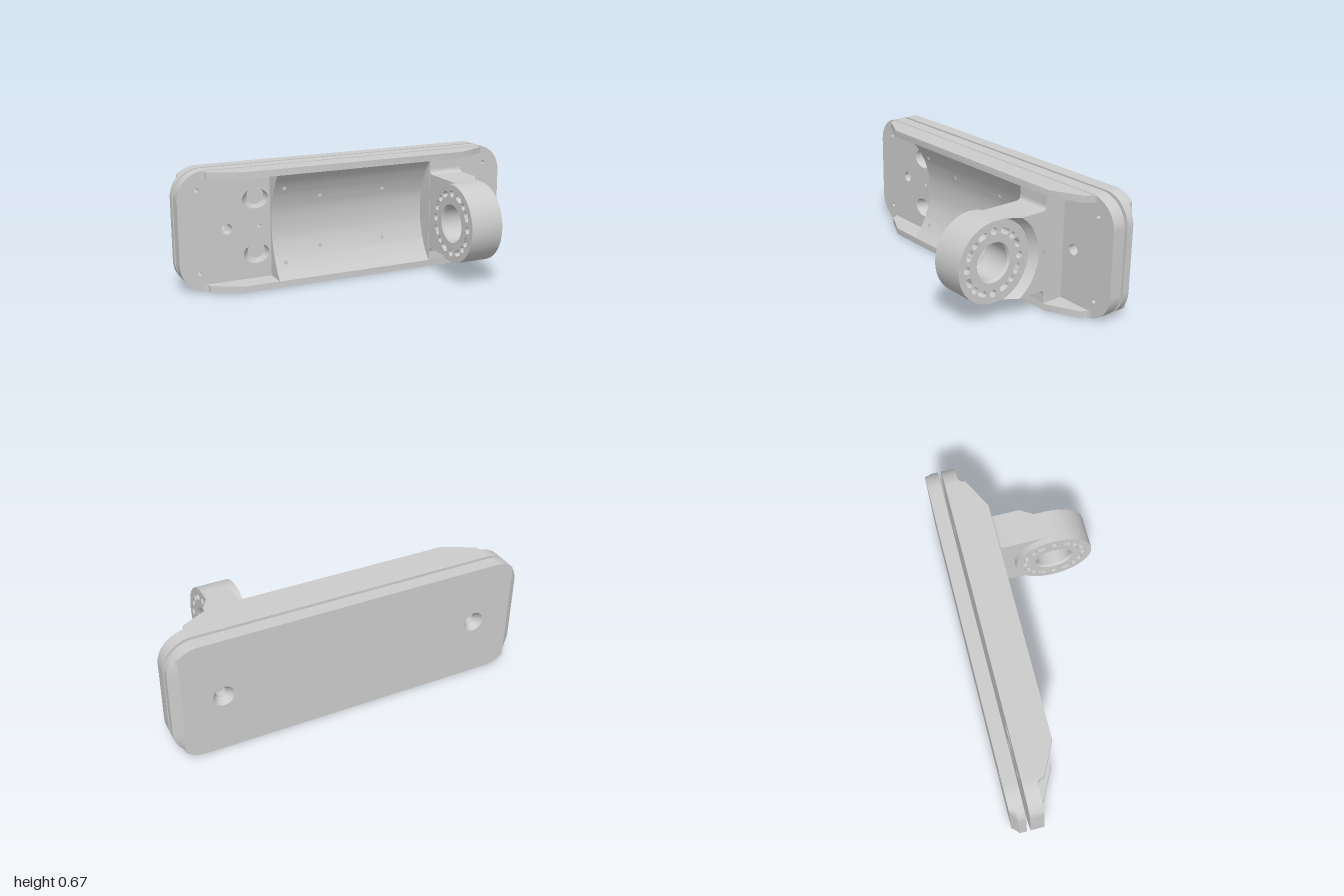
import * as THREE from 'three';
import { mergeGeometries, toCreasedNormals } from 'three/addons/utils/BufferGeometryUtils.js';

const MID = 0.335;      // middle height
const RING_Z = 0.19;    // ring axis
const mat = new THREE.MeshStandardMaterial({ color: 0xcccccc });
const matDouble = new THREE.MeshStandardMaterial({ color: 0xcccccc, side: THREE.DoubleSide });

const circle = (x, y, r) => new THREE.Path().absarc(x, y, r, 0, Math.PI * 2, true);
const ellipse = (x, y, rx, ry) => new THREE.Path().absellipse(x, y, rx, ry, 0, Math.PI * 2, true);

function extrude(shape, depth, curveSegments = 14) {
  return new THREE.ExtrudeGeometry(shape, { depth, bevelEnabled: false, curveSegments });
}

// Moves every vertex by a rule
function reshape(geo, rule) {
  const p = geo.attributes.position, v = new THREE.Vector3();
  for (let i = 0; i < p.count; i++) {
    rule(v.fromBufferAttribute(p, i));
    p.setXYZ(i, v.x, v.y, v.z);
  }
  return geo;
}

function plateShape() {
  const r = 0.16, top = 2 * MID, s = new THREE.Shape();
  s.absarc(1 - r, r, r, -Math.PI / 2, 0);
  s.absarc(1 - r, top - r, r, 0, Math.PI / 2);
  s.absarc(r - 1, top - r, r, Math.PI / 2, Math.PI);
  s.absarc(r - 1, r, r, Math.PI, Math.PI * 1.5);
  s.closePath();
  for (const x of [-0.73, 0.73]) s.holes.push(circle(x, MID, 0.03));
  return s;
}

// Arm outline (u = -z), ending in a concave arc of radius r around the ring axis
function armShape(r) {
  const a = Math.asin(0.22 / r), du = Math.sqrt(Math.max(0, r * r - 0.22 * 0.22));
  const s = new THREE.Shape();
  s.moveTo(0.14, 0.085);
  s.lineTo(0.115, 0.085);
  s.quadraticCurveTo(0.115, 0.115, 0.085, 0.115);
  s.lineTo(-RING_Z + du, 0.115);
  s.absarc(-RING_Z, MID, r, -a, a);
  s.lineTo(0.085, 0.555);
  s.quadraticCurveTo(0.115, 0.555, 0.115, 0.585);
  s.lineTo(0.14, 0.585);
  s.closePath();
  return s;
}

// Pinched slot lying along the ring's bolt circle
function pinchedSlot(angle) {
  const pts = [], cx = -RING_Z + 0.168 * Math.cos(angle), cy = MID + 0.168 * Math.sin(angle);
  for (let i = 0; i < 24; i++) {
    const t = -i / 24 * Math.PI * 2;
    const along = 0.029 * Math.cos(t);
    const across = 0.019 * Math.sin(t) * (1 - 0.25 * Math.exp(-((along / 0.008) ** 2)));
    pts.push(new THREE.Vector2(
      cx - along * Math.sin(angle) + across * Math.cos(angle),
      cy + along * Math.cos(angle) + across * Math.sin(angle)));
  }
  return new THREE.Path(pts);
}

export function createModel() {
  const group = new THREE.Group();
  const add = (name, geo, material = mat, crease = 0.5) => {
    const mesh = new THREE.Mesh(toCreasedNormals(geo, crease), material);
    mesh.name = name;
    group.add(mesh);
    return mesh;
  };
  const alongX = (geo, x) => geo.rotateY(Math.PI / 2).translate(x, 0, 0);

  // Back plate: straight layer, then a layer with chamfered ends and countersinks
  add('backPlate', extrude(plateShape(), 0.04).translate(0, 0, -0.375));
  add('backPlateChamfer', reshape(extrude(plateShape(), 0.035).translate(0, 0, -0.41), v => {
    if (v.z > -0.4) return;
    const hx = 0.73 * Math.sign(v.x);
    if (Math.hypot(v.x - hx, v.y - MID) < 0.04) {
      v.x = hx + (v.x - hx) * 1.9;
      v.y = MID + (v.y - MID) * 1.9;
    } else v.x = THREE.MathUtils.clamp(v.x, -0.95, 0.95);
  }));

  // Front plate with screw holes and two slanted ports
  const front = plateShape();
  for (const x of [-0.89, 0.89]) for (const y of [0.105, 0.565]) front.holes.push(circle(x, y, 0.012));
  front.holes.push(circle(-0.545, MID, 0.011));
  for (const y of [0.18, 0.49]) front.holes.push(ellipse(-0.565, y, 0.075, 0.055));
  add('frontPlate', extrude(front, 0.075).translate(0, 0, -0.315));
  for (const y of [0.18, 0.49]) {
    const liner = new THREE.CylinderGeometry(1, 1, 0.075, 28, 1, true).rotateX(Math.PI / 2);
    reshape(liner, v => {
      const outer = v.z > 0;
      v.set((outer ? -0.565 : -0.54) + v.x * (outer ? 0.075 : 0.049),
        y + v.y * (outer ? 0.055 : 0.049), v.z - 0.2775);
    });
    add('slantedPort', liner, matDouble);
  }

  // Side rails with sloping ends
  const rail = new THREE.Shape();
  rail.moveTo(-0.88, 0.245);
  rail.lineTo(-0.88, 0.24);
  rail.quadraticCurveTo(-0.845, 0.24, -0.845, 0.205);
  rail.lineTo(-0.83, 0.195);
  rail.lineTo(-0.67, 0.115);
  rail.lineTo(0.67, 0.115);
  rail.lineTo(0.83, 0.195);
  rail.lineTo(0.845, 0.205);
  rail.quadraticCurveTo(0.845, 0.24, 0.88, 0.24);
  rail.lineTo(0.88, 0.245);
  for (const y of [0.003, 0.63]) add('rail', extrude(rail, 0.037, 6).rotateX(-Math.PI / 2).translate(0, y, 0));

  // Concave trough made of strips, some with screw holes
  const R = 0.45, troughZ = y => -0.225 + R - Math.sqrt(R * R - (y - MID) ** 2);
  const half = [0.04, 0.075, 0.105, 0.145, 0.17, 0.21, 0.25, 0.29];
  const edges = [...half, ...half.map(y => 2 * MID - y).reverse()];
  const screws = [[-0.42, 0.125], [-0.2, 0.19], [0.19, 0.19], [-0.42, 0.545], [-0.2, 0.48], [0.19, 0.48]];
  const strips = [];
  for (let i = 0; i < edges.length - 1; i++) {
    const lo = edges[i], hi = edges[i + 1];
    const s = new THREE.Shape([[-0.48, lo], [0.455, lo], [0.455, hi], [-0.48, hi]].map(p => new THREE.Vector2(...p)));
    for (const [x, y] of screws) if (y > lo && y < hi) s.holes.push(circle(x, y, 0.011));
    strips.push(reshape(new THREE.ShapeGeometry(s), v => { v.z = troughZ(v.y); }));
  }
  add('trough', mergeGeometries(strips), matDouble);
  const end = new THREE.Shape([new THREE.Vector2(0.245, edges[0]),
    ...edges.map(y => new THREE.Vector2(-troughZ(y), y)),
    new THREE.Vector2(0.245, 0.63)].reverse());
  add('troughEndWall', alongX(extrude(end, 0.006), -0.48), matDouble);

  // Block carrying the arm
  add('armBlock', new THREE.BoxGeometry(0.2, 0.59, 0.13).translate(0.553, MID, -0.18));

  // Arm, with an outer layer cut by a cone around the ring
  add('arm', alongX(extrude(armShape(0.22), 0.155, 24), 0.455));
  const outer = armShape(0.23);
  outer.holes.push(circle(0.108, MID, 0.012));
  add('armOuterLayer', reshape(alongX(extrude(outer, 0.045, 24), 0.61), v => {
    if (v.x > 0.64 && Math.hypot(v.z - RING_Z, v.y - MID) < 0.232) {
      v.z = RING_Z - Math.sqrt(0.26 ** 2 - (v.y - MID) ** 2);
    }
  }));

  // Ring with its circle of holes and a chamfered bore
  const ring = new THREE.Shape().absarc(-RING_Z, MID, 0.22, 0, Math.PI * 2);
  ring.holes.push(circle(-RING_Z, MID, 0.108));
  for (let q = 0; q < 4; q++) {
    const a = q * Math.PI / 2, d = Math.PI / 180;
    for (const [deg, r] of [[0, 0.02], [45, 0.018]]) {
      const t = a + deg * d;
      ring.holes.push(circle(-RING_Z + 0.168 * Math.cos(t), MID + 0.168 * Math.sin(t), r));
    }
    ring.holes.push(pinchedSlot(a + 25 * d), pinchedSlot(a + 65 * d));
  }
  add('ring', alongX(extrude(ring, 0.19, 20), 0.42));
  const bore = [[0.108, 0], [0.098, 0.012], [0.098, 0.178], [0.108, 0.19]].map(p => new THREE.Vector2(...p));
  add('ringBore', new THREE.LatheGeometry(bore, 40).rotateZ(-Math.PI / 2).translate(0.42, MID, RING_Z), matDouble);

  return group;
}
